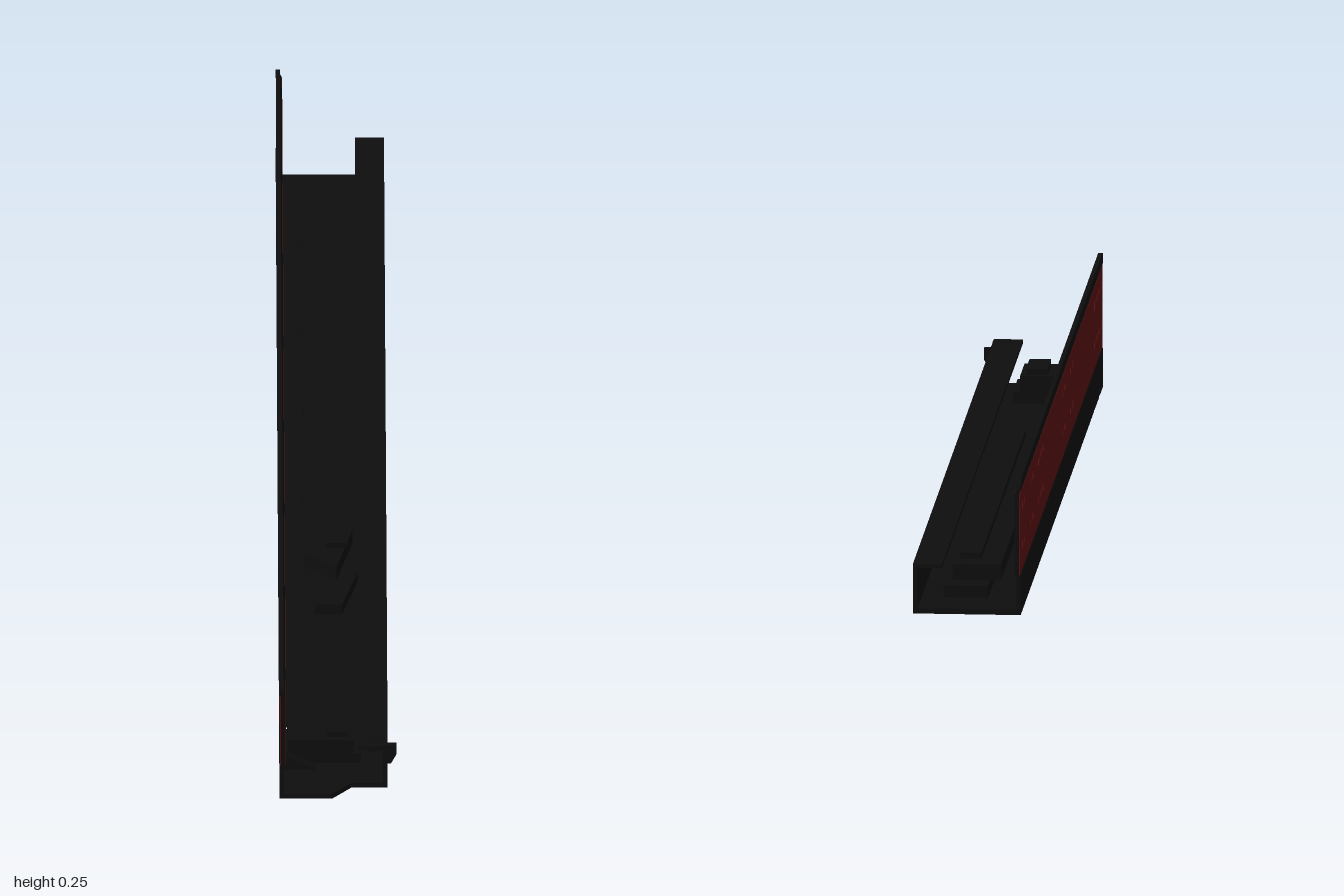
import * as THREE from 'three';

const black = new THREE.MeshStandardMaterial({ color: 0x0e0e0e });
black.name = 'black steel';
const red = new THREE.MeshStandardMaterial({ color: 0x5a1010 });
red.name = 'dark red';

const shapeOf = (pts) => new THREE.Shape(pts.map(([a, b]) => new THREE.Vector2(a, b)));

export function createModel() {
  const model = new THREE.Group();

  const add = (name, geo, mat = black) => {
    const m = new THREE.Mesh(geo, mat);
    m.name = name;
    model.add(m);
    return m;
  };
  const box = (name, x0, x1, y0, y1, z0, z1) => {
    const g = new THREE.BoxGeometry(x1 - x0, y1 - y0, z1 - z0);
    g.translate((x0 + x1) / 2, (y0 + y1) / 2, (z0 + z1) / 2);
    return add(name, g);
  };
  // Extrude an (x, y) section along z
  const alongZ = (name, pts, z0, z1) => {
    const g = new THREE.ExtrudeGeometry(shapeOf(pts), { depth: z1 - z0, bevelEnabled: false });
    g.translate(0, 0, z0);
    return add(name, g);
  };
  // Extrude a (-z, y) outline along x
  const alongX = (name, shape, x0, x1, mat = black) => {
    const g = new THREE.ExtrudeGeometry(shape, { depth: x1 - x0, bevelEnabled: false, curveSegments: 14 });
    g.rotateY(Math.PI / 2);
    g.translate(x0, 0, 0);
    return add(name, g, mat);
  };
  // Extrude an (x, z) outline upwards
  const upY = (name, pts, y0, y1) => {
    const g = new THREE.ExtrudeGeometry(shapeOf(pts.map(([x, z]) => [x, -z])), { depth: y1 - y0, bevelEnabled: false });
    g.rotateX(-Math.PI / 2);
    g.translate(0, y0, 0);
    return add(name, g);
  };

  // Floor with a clipped front corner and two slots on the bent edge
  upY('floor', [
    [-0.108, -1], [0.092, -1], [0.092, 0.965], [0.025, 0.965], [-0.01, 1], [-0.108, 1],
    [-0.108, 0.918], [-0.09, 0.918], [-0.09, 0.9], [-0.108, 0.9],
    [-0.108, 0.79], [-0.09, 0.79], [-0.09, 0.77], [-0.108, 0.77],
  ], 0, 0.01);

  // Side wall and its inward lip
  box('sideWall', 0.083, 0.092, 0.01, 0.088, -1, 0.965);
  box('sideLip', 0.038, 0.092, 0.086, 0.093, -1, 0.965);

  // Foot of the tall plate, broken by the slots
  for (const [z0, z1] of [[-1, 0.77], [0.79, 0.9], [0.918, 1]]) {
    box('plateFoot', -0.108, -0.1, 0.01, 0.02, z0, z1);
  }
  // Tall plate with its raised web
  alongZ('tallPlate', [
    [-0.108, 0.02], [-0.1, 0.02], [-0.1, 0.068], [-0.097, 0.074], [-0.097, 0.23], [-0.1, 0.236],
    [-0.108, 0.236], [-0.108, 0.234], [-0.105, 0.228], [-0.105, 0.074], [-0.108, 0.07],
  ], -1, 1);
  // Rounded top strip
  const top = new THREE.Shape();
  top.moveTo(-1, 0.236);
  top.lineTo(1, 0.236);
  top.quadraticCurveTo(1, 0.255, 0.98, 0.255);
  top.lineTo(-0.98, 0.255);
  top.quadraticCurveTo(-1, 0.255, -1, 0.236);
  alongX('topStrip', top, -0.108, -0.1);

  // Red facing on both sides, pierced by fixing holes
  const holeZ = [0.966, 0.912, 0.86, 0.8, 0.277, 0.224, 0.086, 0.032,
    -0.444, -0.497, -0.55, -0.69, -0.743, -0.888, -0.94];
  const facing = shapeOf([[-1, 0.075], [1, 0.075], [1, 0.229], [-1, 0.229]]);
  for (const z of holeZ) {
    for (const y of [0.125, 0.2]) {
      const big = y > 0.15 && (z === 0.8 || z === -0.55);
      const hole = new THREE.Path();
      hole.absarc(-z, y, big ? 0.016 : 0.011, 0, Math.PI * 2, true);
      facing.holes.push(hole);
    }
  }
  alongX('outerFacing', facing, -0.107, -0.105, red);
  alongX('innerFacing', facing, -0.097, -0.0962, red);

  // Long low carriage rail with a raised spine
  upY('carriageBase', [
    [-0.04, -0.9], [0.043, -0.9], [0.043, 0.3], [0.01, 0.42], [-0.04, 0.42],
  ], 0.01, 0.032);
  upY('carriageBody', [
    [-0.06, -0.85], [0.03, -0.85], [0.03, 0.22], [0, 0.34], [-0.06, 0.3],
  ], 0.032, 0.062);
  box('carriageSpine', -0.02, 0.02, 0.062, 0.073, -0.8, 0.28);

  // Latch housing near the front
  box('latchHousing', -0.093, 0.03, 0.01, 0.062, 0.79, 0.9);
  box('latchCap', -0.02, 0.02, 0.062, 0.073, 0.8, 0.89);
  box('latchStep', 0.03, 0.043, 0.01, 0.032, 0.79, 0.9);
  alongZ('cornerGusset', [[-0.1, 0.01], [-0.04, 0.01], [-0.1, 0.04]], 0.9, 0.92);

  // Thin hook that reaches out over the side wall
  alongZ('hook', [
    [0.055, 0.067], [0.092, 0.067], [0.092, 0.04], [0.098, 0.04], [0.108, 0.06],
    [0.108, 0.082], [0.092, 0.082], [0.092, 0.094], [0.055, 0.094],
  ], 0.937, 0.945);

  return model;
}
